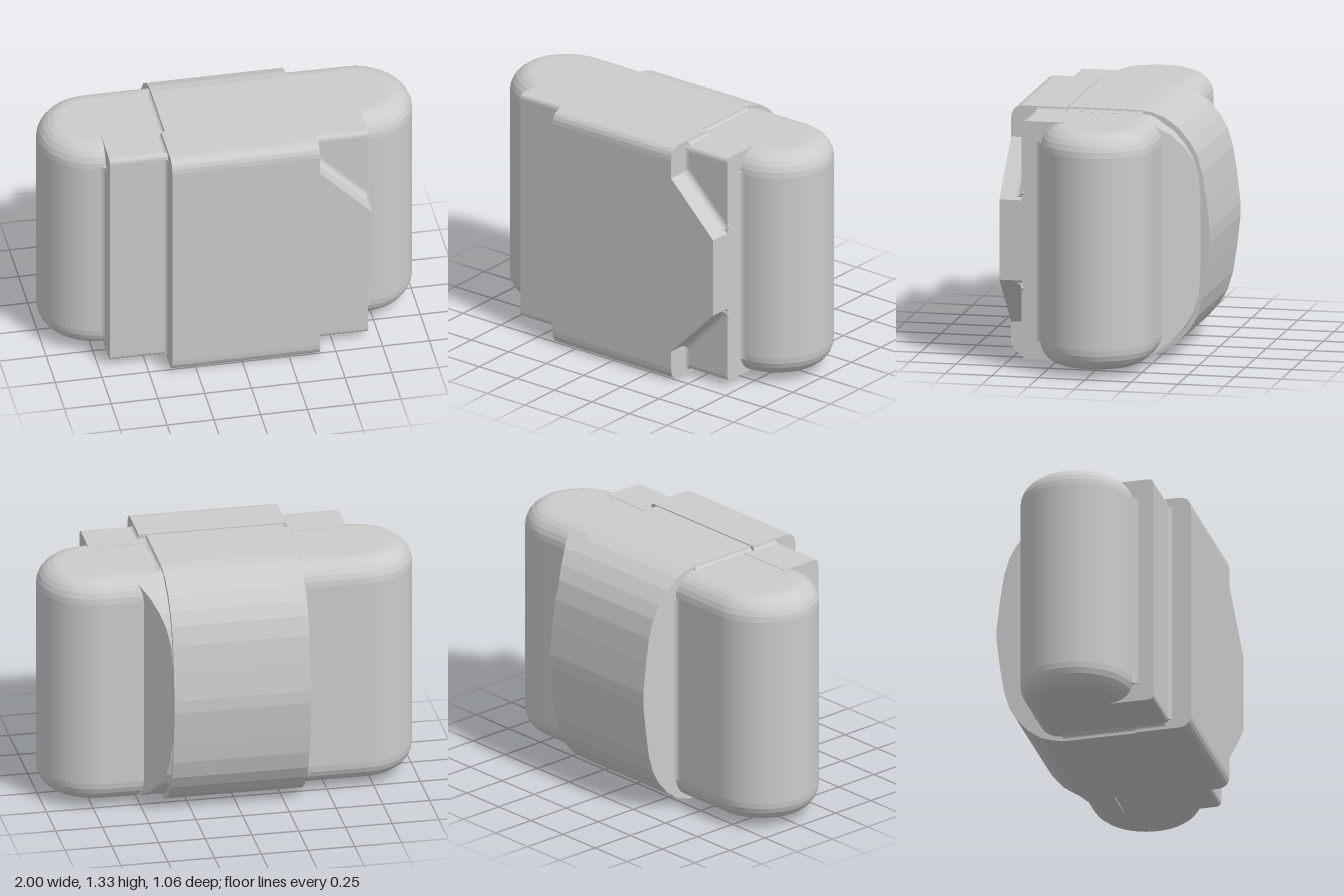
import * as THREE from 'three';

const MID = 0.665; // height of the horizontal symmetry plane
const V = (x, y, z) => new THREE.Vector3(x, y, z);

export function createModel() {
  const group = new THREE.Group();
  const material = new THREE.MeshStandardMaterial({ color: 0xcccccc });

  function add(name, geometry) {
    const mesh = new THREE.Mesh(geometry, material);
    mesh.name = name;
    group.add(mesh);
    return mesh;
  }

  // Extrudes a side profile of (-z, y) from x0 to x1
  function extrudeX(shape, x0, x1) {
    return new THREE.ExtrudeGeometry(shape, { depth: x1 - x0, bevelEnabled: false, curveSegments: 5 })
      .rotateY(Math.PI / 2).translate(x0, 0, 0);
  }

  // Block side profile with rounded front corners
  function blockProfile(zBack, zFront, y0, y1, r) {
    const s = new THREE.Shape();
    s.moveTo(-zBack, y0);
    s.lineTo(-zBack, y1);
    s.lineTo(-zFront + r, y1);
    s.quadraticCurveTo(-zFront, y1, -zFront, y1 - r);
    s.lineTo(-zFront, y0 + r);
    s.quadraticCurveTo(-zFront, y0, -zFront + r, y0);
    return s;
  }

  // Concave fillet in the corner between directions u and v, running along u x v
  function cove(name, r, origin, u, v, length) {
    const s = new THREE.Shape();
    s.moveTo(-0.01, -0.01);
    s.lineTo(r, -0.01);
    s.lineTo(r, 0);
    s.absarc(r, r, r, -Math.PI / 2, -Math.PI, true);
    s.lineTo(-0.01, r);
    const geo = new THREE.ExtrudeGeometry(s, { depth: length, bevelEnabled: false, curveSegments: 5 });
    const w = u.clone().cross(v);
    geo.applyMatrix4(new THREE.Matrix4().makeBasis(u, v, w).setPosition(origin));
    add(name, geo);
  }

  // Main body: upright stadium with rounded rims
  const R = 0.3, bevel = 0.12;
  const stadium = new THREE.Shape();
  stadium.absarc(0.7, 0, R - bevel, -Math.PI / 2, Math.PI / 2, false);
  stadium.absarc(-0.7, 0, R - bevel, Math.PI / 2, Math.PI * 1.5, false);
  stadium.closePath();
  add('body', new THREE.ExtrudeGeometry(stadium, {
    depth: 1.27 - 2 * bevel, bevelSize: bevel, bevelThickness: bevel, bevelSegments: 6, curveSegments: 18,
  }).rotateX(-Math.PI / 2).translate(0, 0.035 + bevel, 0));

  // Front plate and the raised block on it
  add('frontPlate', extrudeX(blockProfile(0.17, 0.41, 0.033, 1.307, 0.03), -0.69, 0.69));
  add('frontBlock', extrudeX(blockProfile(0.23, 0.53, 0, 1.33, 0.07), -0.38, 0.41));

  // Tapered tab reaching from the block to the plate's edge
  const tab = new THREE.Shape([[0.35, 0.17], [0.41, 0.17], [0.69, 0.45], [0.69, 0.88], [0.41, 1.16], [0.35, 1.16]]
    .map(([x, y]) => new THREE.Vector2(x, y)));
  add('frontTab', new THREE.ExtrudeGeometry(tab, { depth: 0.18, bevelEnabled: false }).translate(0, 0, 0.35));

  // Curved rear band, symmetrical above and below the middle
  const curve = [[-0.15, 1.325], [-0.22, 1.315], [-0.29, 1.29], [-0.36, 1.24], [-0.42, 1.17],
    [-0.46, 1.1], [-0.49, 1.0], [-0.51, 0.87], [-0.53, 0.7]];
  const rear = [...curve, ...curve.map(([z, y]) => [z, 2 * MID - y]).reverse()];
  const profile = (pts) => new THREE.Shape(pts.map(([z, y]) => new THREE.Vector2(-z, y)));
  add('rearBand', extrudeX(profile([[0.24, 1.325], ...rear, [0.24, 0.005]]), -0.36, 0.37));

  // Slanted wedge between the band's left side and the body
  const inner = rear.map(([z, y]) => [Math.max(z + 0.02, -0.48), MID + (y - MID) * 0.965]);
  const wedge = extrudeX(profile([[-0.1, inner[0][1]], ...inner, [-0.1, inner.at(-1)[1]]]), 0.3, 0.5);
  const p = wedge.attributes.position;
  for (let i = 0; i < p.count; i++) {
    if (p.getX(i) > 0.4) p.setX(i, 0.37 + (p.getZ(i) + 0.48) * 0.66);
  }
  wedge.computeVertexNormals();
  add('rearWedge', wedge);

  // Fillets where the parts meet
  const X = V(1, 0, 0), Y = V(0, 1, 0), Z = V(0, 0, 1);
  const nX = V(-1, 0, 0), nY = V(0, -1, 0), nZ = V(0, 0, -1);
  const d = Math.SQRT1_2;
  cove('blockFillet', 0.025, V(-0.38, 0.05, 0.41), nX, Z, 1.23);
  cove('blockFillet', 0.025, V(0.41, 0.05, 0.41), Z, X, 0.12);
  cove('blockFillet', 0.025, V(0.41, 1.16, 0.41), Z, X, 0.12);
  cove('tabFillet', 0.035, V(0.41, 1.16, 0.41), V(d, d, 0), Z, 0.375);
  cove('tabFillet', 0.035, V(0.41, 0.17, 0.41), Z, V(d, -d, 0), 0.375);
  cove('bandFillet', 0.03, V(-0.36, 0.15, -0.3), nZ, nX, 1.03);
  cove('plateFillet', 0.035, V(-0.69, 0.13, 0.3), nX, Z, 1.07);
  cove('plateFillet', 0.035, V(0.69, 0.13, 0.3), Z, X, 1.07);
  for (const [xr, xl, z, r, length] of [[-0.38, 0.41, 0.39, 0.022, 0.16], [-0.36, 0.37, 0.23, 0.018, 0.4]]) {
    cove('topFillet', r, V(xr, 1.306, z), nX, Y, length);
    cove('topFillet', r, V(xl, 1.306, z), Y, X, length);
    cove('bottomFillet', r, V(xr, 0.034, z), nY, nX, length);
    cove('bottomFillet', r, V(xl, 0.034, z), X, nY, length);
  }

  return group;
}
